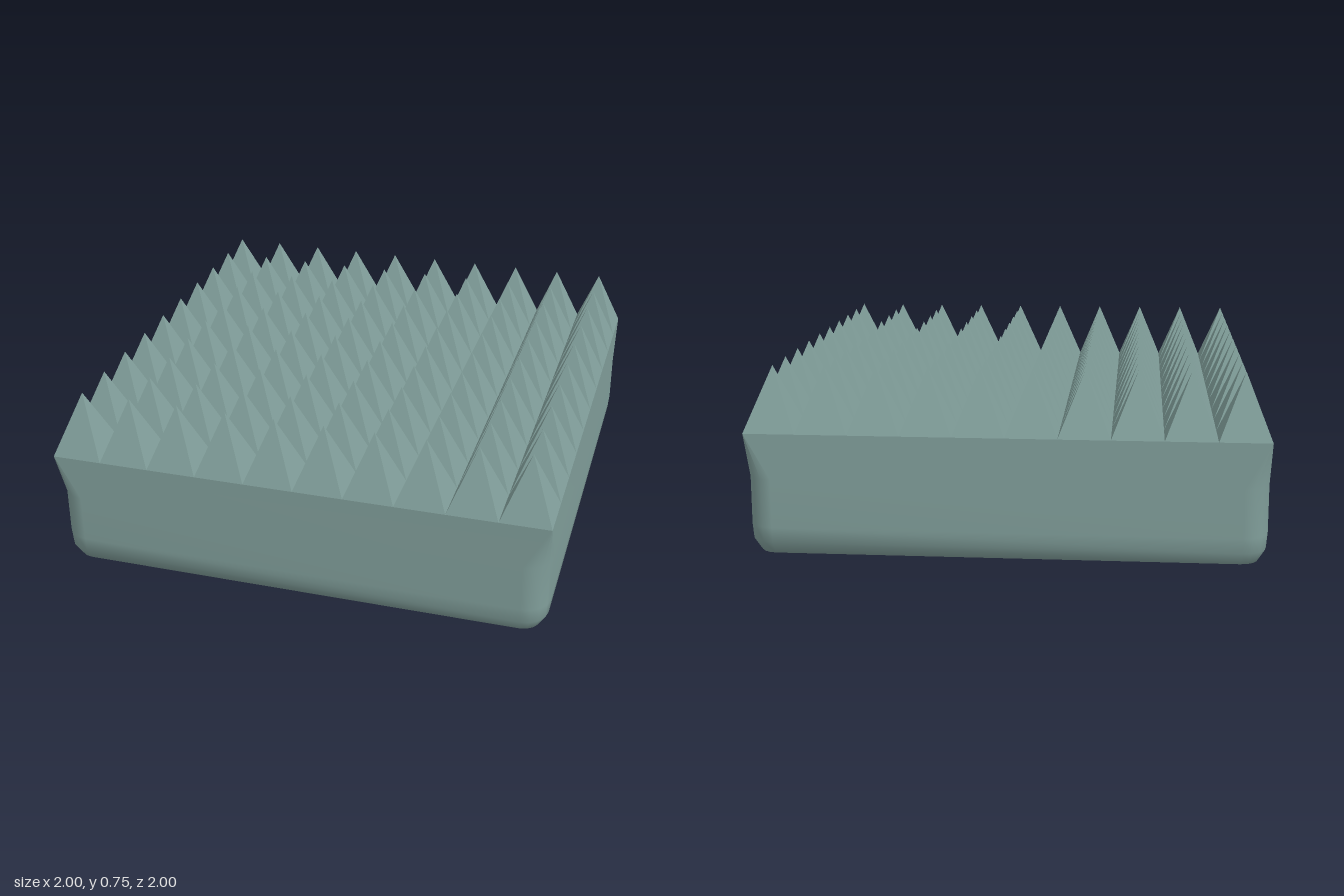
import * as THREE from 'three';
import { mergeGeometries } from 'three/addons/utils/BufferGeometryUtils.js';

const CORNER_STEPS = 4;

// Rounded-square loop: half width h, corner radius r, height y
function squareLoop(h, r, y) {
  const pts = [];
  for (let q = 0; q < 4; q++) {
    const mid = Math.PI / 4 + q * Math.PI / 2;
    const cx = Math.sign(Math.cos(mid)) * (h - r);
    const cz = Math.sign(Math.sin(mid)) * (h - r);
    for (let s = 0; s <= CORNER_STEPS; s++) {
      const a = (q + s / CORNER_STEPS) * Math.PI / 2;
      pts.push(cx + r * Math.cos(a), y, cz + r * Math.sin(a));
    }
  }
  return pts;
}

// Skin the loops from top to bottom and close the underside
function blockGeometry(loops) {
  const n = 4 * (CORNER_STEPS + 1);
  const pos = loops.flatMap(([h, r, y]) => squareLoop(h, r, y));
  const index = [];
  for (let k = 0; k < loops.length - 1; k++) {
    for (let i = 0; i < n; i++) {
      const a = k * n + i, b = k * n + (i + 1) % n;
      index.push(a, b, a + n, b, b + n, a + n);
    }
  }
  const last = (loops.length - 1) * n, centre = loops.length * n;
  pos.push(0, loops[loops.length - 1][2], 0);
  for (let i = 0; i < n; i++) index.push(last + i, last + (i + 1) % n, centre);
  const g = new THREE.BufferGeometry();
  g.setAttribute('position', new THREE.Float32BufferAttribute(pos, 3));
  g.setIndex(index);
  g.computeVertexNormals();
  return g;
}

export function createModel() {
  const group = new THREE.Group();
  group.name = 'spikedBlock';
  const color = 0x82a09c;

  // Block: sharp square rim on top, rounded corners and edges below
  const block = new THREE.Mesh(
    blockGeometry([
      [1, 0, 0.5], [1, 0.1, 0.32], [1, 0.1, 0.13],
      [0.995, 0.095, 0.07], [0.965, 0.07, 0.02], [0.9, 0.03, 0],
    ]),
    new THREE.MeshStandardMaterial({ color })
  );
  block.name = 'block';
  group.add(block);

  // Spikes: a 10 by 10 field of touching square pyramids
  const count = 10, size = 2 / count, height = 0.25;
  const pyramid = new THREE.ConeGeometry(size / Math.SQRT2, height, 4, 1, true).rotateY(Math.PI / 4);
  const pyramids = [];
  for (let i = 0; i < count; i++) {
    for (let j = 0; j < count; j++) {
      pyramids.push(pyramid.clone().translate(
        -1 + (i + 0.5) * size, 0.5 + height / 2, -1 + (j + 0.5) * size));
    }
  }
  const spikes = new THREE.Mesh(
    mergeGeometries(pyramids),
    new THREE.MeshStandardMaterial({ color, flatShading: true })
  );
  spikes.name = 'spikes';
  group.add(spikes);

  return group;
}
